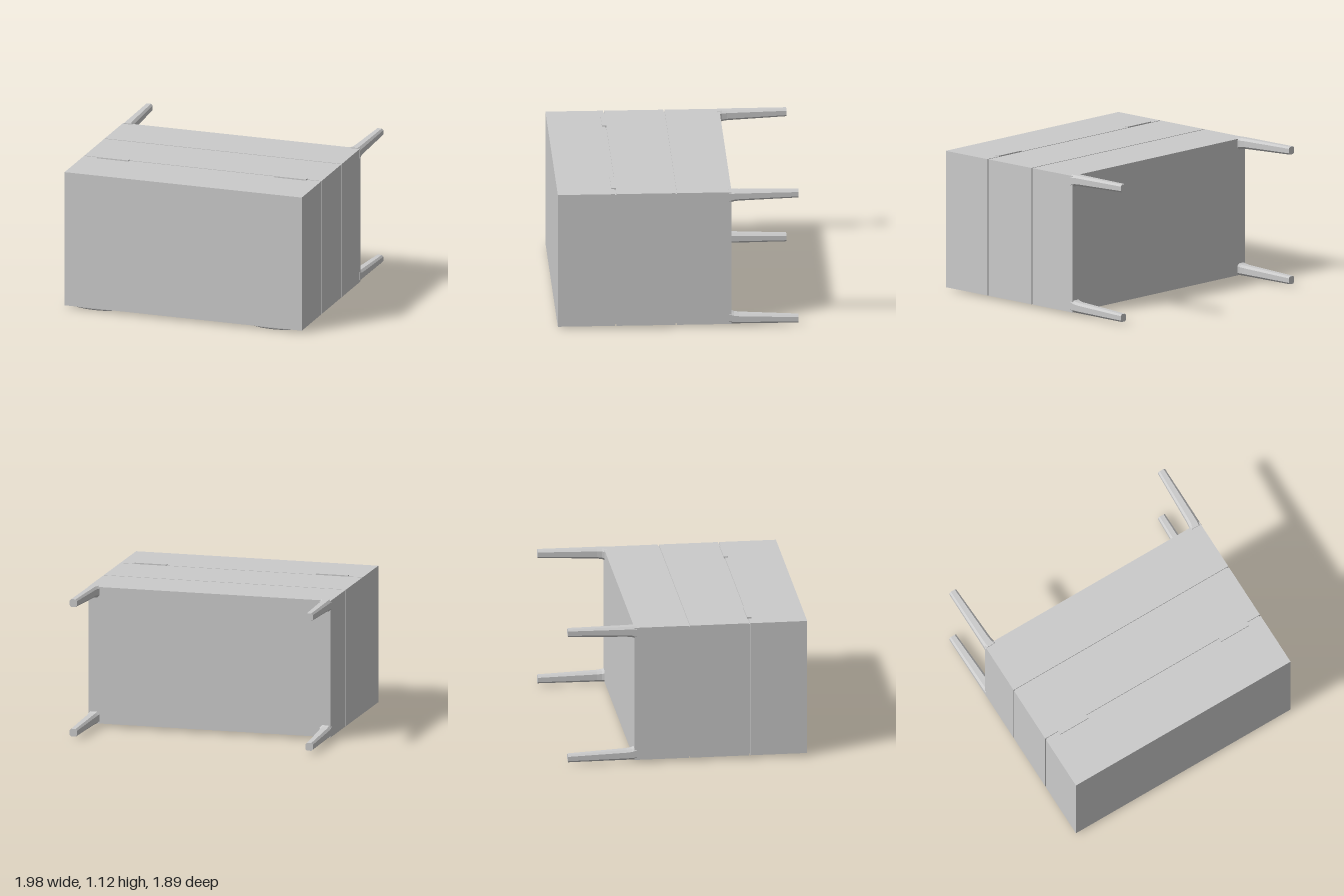
import * as THREE from 'three';

const material = new THREE.MeshStandardMaterial({ color: 0xcccccc, flatShading: true });
const BOTTOM = 0.02, TOP = 1.115, HALF = 0.988, FRONT = 0.945, BACK = -0.42;
const MID = (BOTTOM + TOP) / 2;

function add(group, name, geometry, x, y, z) {
  const mesh = new THREE.Mesh(geometry, material);
  mesh.name = name;
  mesh.position.set(x, y, z);
  group.add(mesh);
  return mesh;
}

// Chamfered square leg, tapering along -z towards its outer corner
function legGeometry(sx, sy) {
  const w = 0.085, c = 0.018;
  const shape = new THREE.Shape([
    [0, c], [c, 0], [w - c, 0], [w, c], [w, w - c], [w - c, w], [c, w], [0, w - c],
  ].map(([x, y]) => new THREE.Vector2((x - w) * sx, (y - w) * sy)));
  const length = 0.545;
  const geometry = new THREE.ExtrudeGeometry(shape, { depth: length, steps: 14, bevelEnabled: false });
  geometry.translate(0, 0, -length);
  const p = geometry.attributes.position;
  for (let i = 0; i < p.count; i++) {
    const t = -p.getZ(i) / length;
    const flare = 0.2 * Math.max(0, 1 - t / 0.09);
    const k = 1 - 0.27 * t + flare;
    p.setXY(i, p.getX(i) * k, p.getY(i) * k);
  }
  geometry.computeVertexNormals();
  return geometry;
}

export function createModel() {
  const model = new THREE.Group();
  model.name = 'cabinet';

  // Three stacked sections separated by narrow seams
  const seam = 0.005;
  const cuts = [BACK, 0.015, 0.49, FRONT];
  for (let i = 0; i < 3; i++) {
    const z0 = cuts[i] + (i > 0 ? seam : 0);
    const z1 = cuts[i + 1] - (i < 2 ? seam : 0);
    add(model, 'section', new THREE.BoxGeometry(HALF * 2, TOP - BOTTOM, z1 - z0), 0, MID, (z0 + z1) / 2);
  }
  // Core visible at the bottom of the seams
  add(model, 'core', new THREE.BoxGeometry(HALF * 2 - 0.02, TOP - BOTTOM - 0.02, 0.6), 0, MID, 0.25);

  for (const sx of [-1, 1]) {
    // Legs at the four corners
    for (const sy of [-1, 1]) {
      const y = sy > 0 ? TOP + 0.007 : BOTTOM;
      add(model, 'leg', legGeometry(sx, sy), sx * (HALF + 0.004), y, BACK + 0.02);
    }
    // Flat pull along the upper seam
    add(model, 'pull', new THREE.BoxGeometry(0.26, 0.016, 0.035), sx * 0.74, TOP + 0.002, 0.502);
    // Shallow swelling under the lower front edge
    const lip = new THREE.SphereGeometry(1, 20, 10);
    lip.scale(0.17, 0.02, 0.025);
    add(model, 'lowerLip', lip, sx * 0.74, BOTTOM, FRONT - 0.026);
  }

  return model;
}
